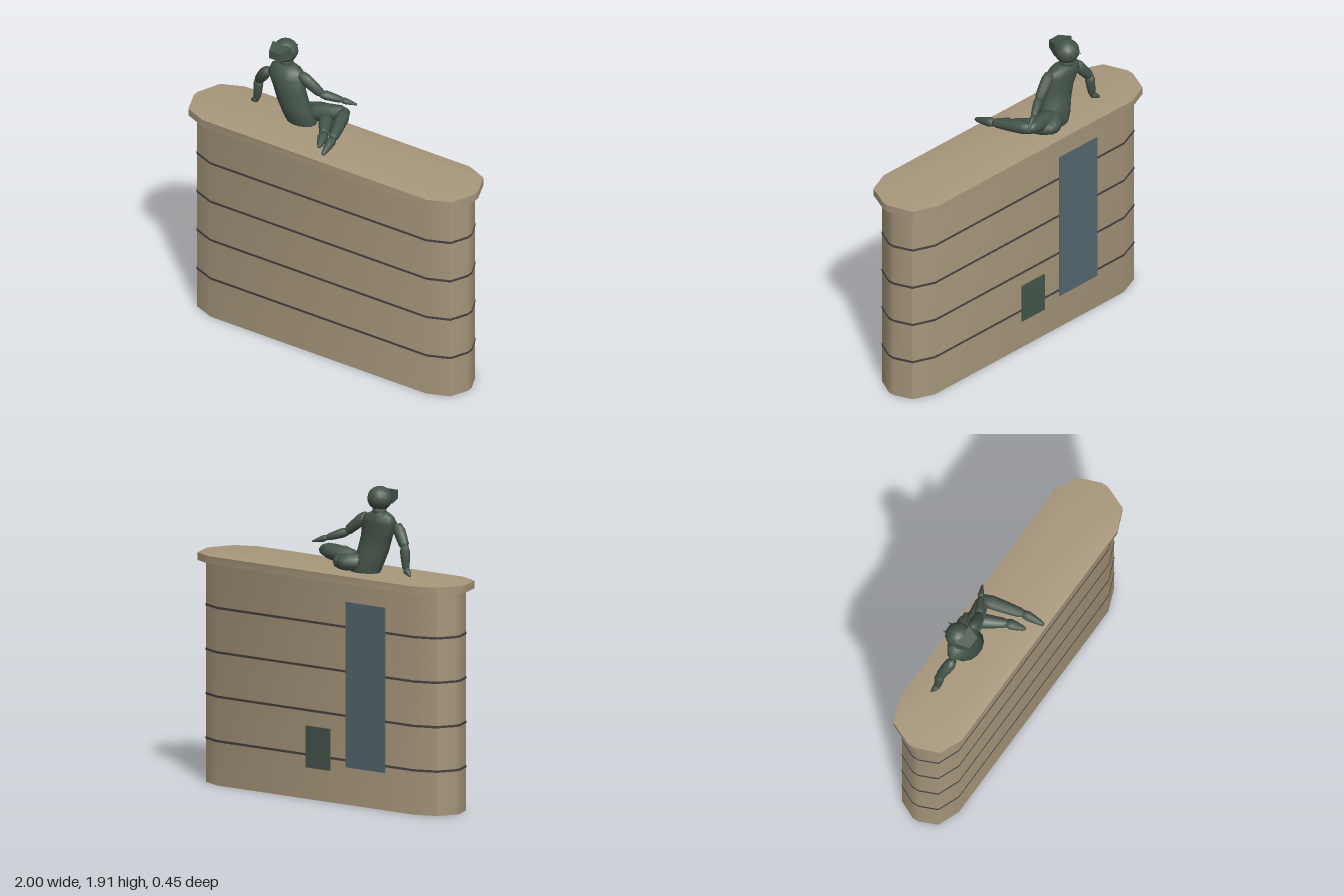
import * as THREE from 'three';
import { toCreasedNormals } from 'three/addons/utils/BufferGeometryUtils.js';

const V = (x, y, z) => new THREE.Vector3(x, y, z);

// Skin over equal-length rings of points, closed with a fan at both ends
function loft(rings, crease = 0.62) {
  const pos = [];
  const tri = (...pts) => pts.forEach((p) => pos.push(p.x, p.y, p.z));
  const n = rings[0].length;
  const middle = (r) => r.reduce((s, p) => s.add(p), V(0, 0, 0)).divideScalar(n);
  const first = rings[0], last = rings[rings.length - 1];
  const c0 = middle(first), c1 = middle(last);
  for (let i = 0; i < n; i++) {
    const j = (i + 1) % n;
    for (let k = 0; k < rings.length - 1; k++) {
      const a = rings[k], b = rings[k + 1];
      tri(a[i], a[j], b[j]);
      tri(a[i], b[j], b[i]);
    }
    tri(c0, first[j], first[i]);
    tri(c1, last[i], last[j]);
  }
  const geo = new THREE.BufferGeometry();
  geo.setAttribute('position', new THREE.Float32BufferAttribute(pos, 3));
  return toCreasedNormals(geo, crease);
}

// Long slab outline with faceted ends, mirrored from one quarter
function outline(y, quarter, scale = 1) {
  const q = quarter.map(([x, z]) => [x * scale, z * scale]);
  const back = [...q].reverse();
  return [
    ...q.map(([x, z]) => V(x, y, -z)),
    ...back.map(([x, z]) => V(-x, y, -z)),
    ...q.map(([x, z]) => V(-x, y, z)),
    ...back.map(([x, z]) => V(x, y, z)),
  ];
}

const ellipse = (cx, y, cz, rx, rz, n = 14) => Array.from({ length: n }, (_, i) => {
  const t = (i / n) * Math.PI * 2;
  return V(cx + rx * Math.cos(t), y, cz - rz * Math.sin(t));
});

export function createModel() {
  const model = new THREE.Group();
  const mat = (name, color) => {
    const m = new THREE.MeshStandardMaterial({ color });
    m.name = name;
    return m;
  };
  const stone = mat('sandstone', 0xa8987c);
  const joint = mat('dark joint', 0x4a4244);
  const bronze = mat('green bronze', 0x45554a);
  const slate = mat('blue slate', 0x55686f);

  const add = (name, geo, material, parent = model) => {
    const m = new THREE.Mesh(geo, material);
    m.name = name;
    parent.add(m);
    return m;
  };

  // Plinth, joint lines and overhanging cap
  const wall = [[0.955, 0.02], [0.905, 0.13], [0.77, 0.184]];
  const line = wall.map(([x, z]) => [x + 0.002, z + 0.002]);
  const lip = [[1, 0.02], [0.94, 0.168], [0.8, 0.227]];
  add('plinth', loft([outline(0, wall), outline(1.335, wall)]), stone);
  for (let i = 1; i <= 4; i++) {
    const y = i * 0.266;
    add('jointLine', loft([outline(y - 0.007, line), outline(y + 0.007, line)]), joint);
  }
  add('cap', loft([
    outline(1.33, lip), outline(1.376, lip), outline(1.387, lip, 0.75), outline(1.392, lip, 0.3),
  ]), stone);

  // Plaques on the back
  const plaque = (name, x, y, w, h, z, m) =>
    add(name, new THREE.BoxGeometry(w, h, 0.009), m).position.set(x, y, z);
  plaque('tallPlaque', -0.394, 0.72, 0.307, 0.99, -0.186, slate);
  plaque('smallPlaque', -0.024, 0.315, 0.185, 0.25, -0.189, bronze);

  // Seated figure
  const figure = new THREE.Group();
  figure.name = 'figure';
  model.add(figure);

  // Torso sections: centre x, y, centre z, half width, half depth
  add('torso', loft([
    [-0.30, 1.39, -0.08, 0.1, 0.07], [-0.31, 1.45, -0.07, 0.11, 0.085],
    [-0.34, 1.52, -0.055, 0.105, 0.075], [-0.365, 1.61, -0.05, 0.108, 0.07],
    [-0.39, 1.69, -0.055, 0.125, 0.07], [-0.395, 1.735, -0.065, 0.105, 0.06],
    [-0.405, 1.76, -0.07, 0.055, 0.04],
  ].map((s) => ellipse(...s)), 1), bronze, figure);

  // Tapered limb segment with rounded ends
  const segment = (name, a, b, r0, r1, flat = 1) => {
    const d = b.clone().sub(a), len = d.length();
    const profile = [
      [0, -r0 * 0.5], [r0 * 0.75, -r0 * 0.2], [r0, len * 0.2],
      [(r0 + r1) * 0.52, len * 0.55], [r1, len * 0.9], [r1 * 0.6, len + r1 * 0.2], [0, len + r1 * 0.4],
    ].map(([x, y]) => new THREE.Vector2(x, y));
    const m = add(name, new THREE.LatheGeometry(profile, 9), bronze, figure);
    m.position.copy(a);
    m.quaternion.setFromUnitVectors(V(0, 1, 0), d.normalize());
    m.scale.z = flat;
    return m;
  };
  const chain = (names, points, radii) => names.forEach((name, i) =>
    segment(name, points[i], points[i + 1], radii[i], radii[i + 1]));

  const armParts = ['upperArm', 'forearm', 'hand'];
  const legParts = ['thigh', 'shin', 'foot'];
  chain(armParts, [
    V(-0.285, 1.72, -0.055), V(-0.165, 1.615, -0.09), V(-0.06, 1.575, -0.155), V(0.015, 1.55, -0.195),
  ], [0.036, 0.029, 0.02, 0.008]);
  chain(armParts, [
    V(-0.52, 1.68, -0.04), V(-0.6, 1.57, -0.07), V(-0.615, 1.435, -0.075), V(-0.66, 1.405, -0.09),
  ], [0.036, 0.03, 0.022, 0.01]);
  chain(legParts, [
    V(-0.25, 1.46, -0.1), V(-0.04, 1.5, -0.15), V(0.035, 1.46, 0.09), V(0.055, 1.43, 0.215),
  ], [0.056, 0.042, 0.03, 0.016]);
  chain(legParts, [
    V(-0.29, 1.45, -0.1), V(-0.185, 1.447, -0.18), V(-0.06, 1.435, 0.04), V(-0.025, 1.415, 0.14),
  ], [0.055, 0.05, 0.032, 0.016]);

  // Neck and head
  segment('neck', V(-0.4, 1.74, -0.075), V(-0.41, 1.79, -0.075), 0.04, 0.04);
  const head = add('head', new THREE.SphereGeometry(1, 14, 10), bronze, figure);
  head.position.set(-0.41, 1.842, -0.075);
  head.scale.set(0.076, 0.072, 0.075);

  // Blunt face block, narrowing toward the front
  const face = add('face', toCreasedNormals(
    new THREE.CylinderGeometry(0.055, 0.095, 0.08, 4, 1).rotateY(Math.PI / 4).rotateX(Math.PI / 2), 0.3,
  ), bronze, figure);
  face.position.set(-0.412, 1.856, 0);
  face.scale.y = 0.65;

  // Small tufts behind the head
  for (const s of [-1, 1]) {
    const tuft = add('hairTuft', new THREE.ConeGeometry(0.014, 0.05, 5).rotateX(-Math.PI / 2), bronze, figure);
    tuft.position.set(-0.41 + s * 0.03, 1.85, -0.14);
  }
  return model;
}
